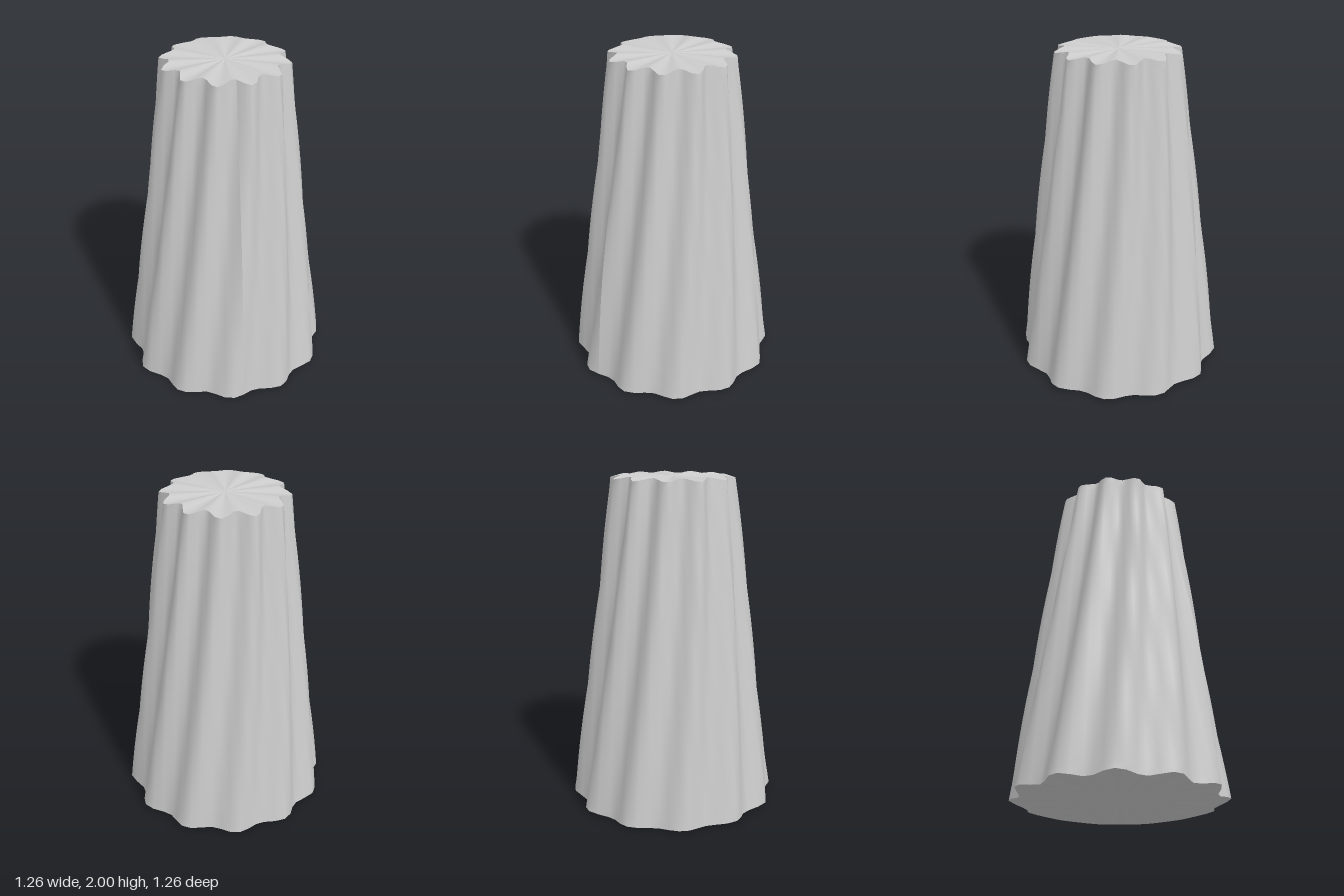
import * as THREE from 'three';

const HEIGHT = 2, LOBES = 12, WAVE = 0.0325;
const BOTTOM_RADIUS = 0.602, TOP_RADIUS = 0.342;
const PHASE = THREE.MathUtils.degToRad(7), TWIST = THREE.MathUtils.degToRad(-19);

export function createModel() {
  const group = new THREE.Group();
  group.name = 'flutedColumn';

  // Capped tapered cylinder, then fluted and twisted vertex by vertex
  const geometry = new THREE.CylinderGeometry(TOP_RADIUS, BOTTOM_RADIUS, HEIGHT, 64, 40);
  geometry.translate(0, HEIGHT / 2, 0);
  const pos = geometry.attributes.position;
  for (let i = 0; i < pos.count; i++) {
    const x = pos.getX(i), y = pos.getY(i), z = pos.getZ(i);
    const t = y / HEIGHT;
    const r = Math.hypot(x, z);
    const angle = Math.atan2(z, x);
    const atCentre = r < 1e-4;
    const wave = atCentre ? 0 : Math.cos(LOBES * (angle - PHASE - TWIST * t));
    const scale = atCentre ? 1 : (r + WAVE * wave) / r;
    // Ridges pull in slightly at both ends, giving scalloped rims
    const inset = 0.009 * (1 + wave);
    pos.setXYZ(i, x * scale, y + inset * (1 - 2 * t), z * scale);
  }
  geometry.computeVertexNormals();

  const body = new THREE.Mesh(geometry, new THREE.MeshStandardMaterial({ color: 0xcccccc }));
  body.name = 'twistedFlutedBody';
  group.add(body);
  return group;
}
